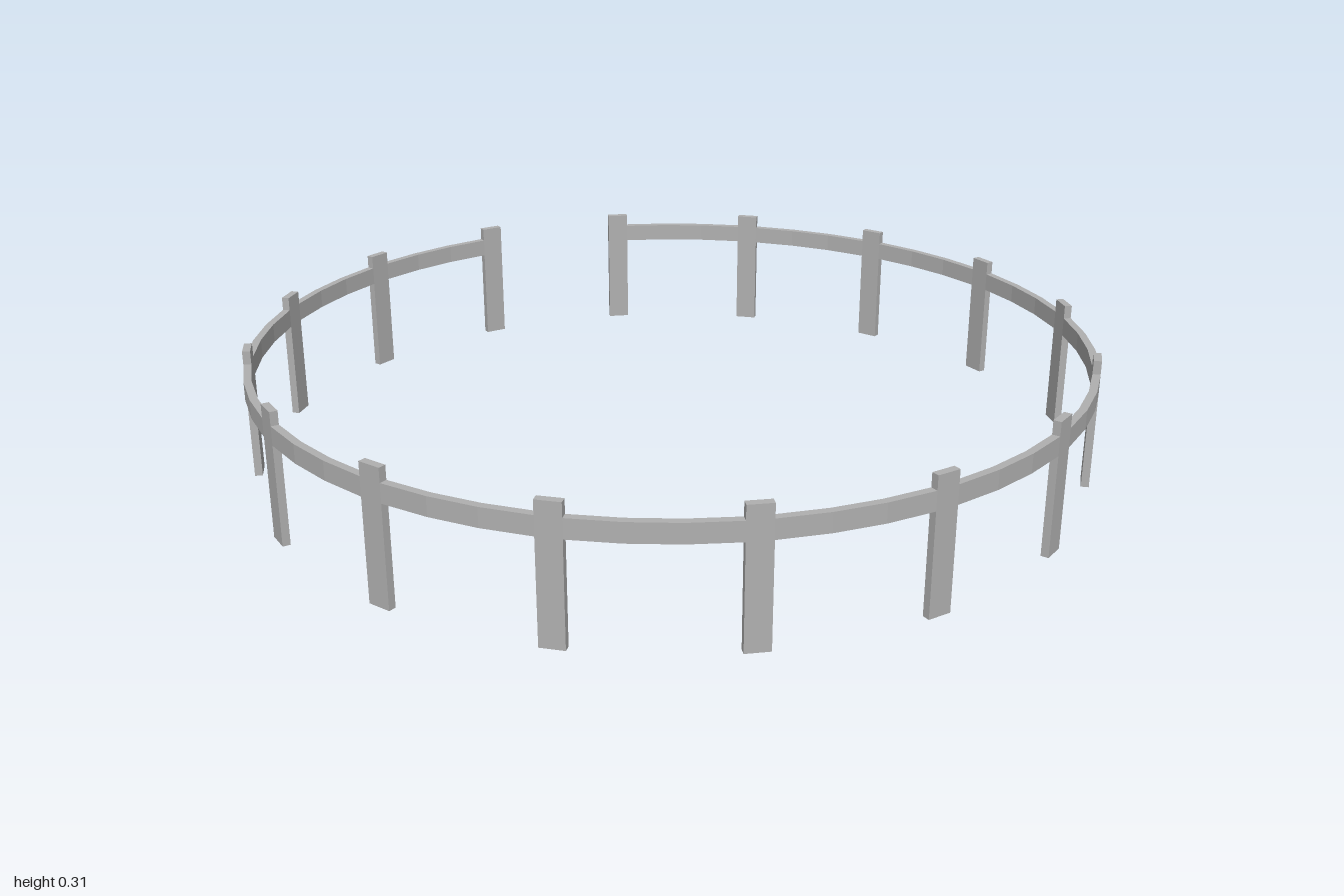
import * as THREE from 'three';

const OUTER = 1, THICK = 0.018;
const POSTS = 16, STEP = (Math.PI * 2) / POSTS;
const POST_WIDTH = 0.055, POST_HEIGHT = 0.312;
const RAIL_BOTTOM = 0.236, RAIL_HEIGHT = 0.044, RAIL_SEGMENTS = 3;
const HALF = Math.asin(POST_WIDTH / 2 / OUTER); // half the angle a post covers

export function createModel() {
  const fence = new THREE.Group();
  fence.name = 'roundFence';
  const grey = new THREE.MeshStandardMaterial({ color: 0xb0b0b0 });
  grey.name = 'grey';

  // Angle of each post, measured from the back
  const postAngle = (i) => STEP * (i + 0.5);

  // Flat posts facing outwards
  const postGeometry = new THREE.BoxGeometry(POST_WIDTH, POST_HEIGHT, THICK);
  const postRadius = OUTER * Math.cos(HALF) - THICK / 2;
  for (let i = 0; i < POSTS; i++) {
    const a = postAngle(i);
    const post = new THREE.Mesh(postGeometry, grey);
    post.name = 'post' + (i + 1);
    post.position.set(Math.sin(a) * postRadius, POST_HEIGHT / 2, -Math.cos(a) * postRadius);
    post.rotation.y = Math.PI - a;
    fence.add(post);
  }

  // Curved rail spans between posts; the bay at the back stays open as a gateway
  const point = (a, r) => new THREE.Vector2(Math.sin(a) * r, Math.cos(a) * r);
  for (let i = 0; i < POSTS - 1; i++) {
    const start = postAngle(i) + HALF, end = postAngle(i + 1) - HALF;
    const outer = [], inner = [];
    for (let s = 0; s <= RAIL_SEGMENTS; s++) {
      const a = THREE.MathUtils.lerp(start, end, s / RAIL_SEGMENTS);
      outer.push(point(a, OUTER));
      inner.unshift(point(a, OUTER - THICK));
    }
    const geometry = new THREE.ExtrudeGeometry(new THREE.Shape([...outer, ...inner]), {
      depth: RAIL_HEIGHT, bevelEnabled: false,
    });
    geometry.rotateX(-Math.PI / 2);
    const rail = new THREE.Mesh(geometry, grey);
    rail.name = 'rail' + (i + 1);
    rail.position.y = RAIL_BOTTOM;
    fence.add(rail);
  }

  // Centre the open ring front to back
  fence.children.forEach((part) => { part.position.z -= 0.006; });
  return fence;
}
